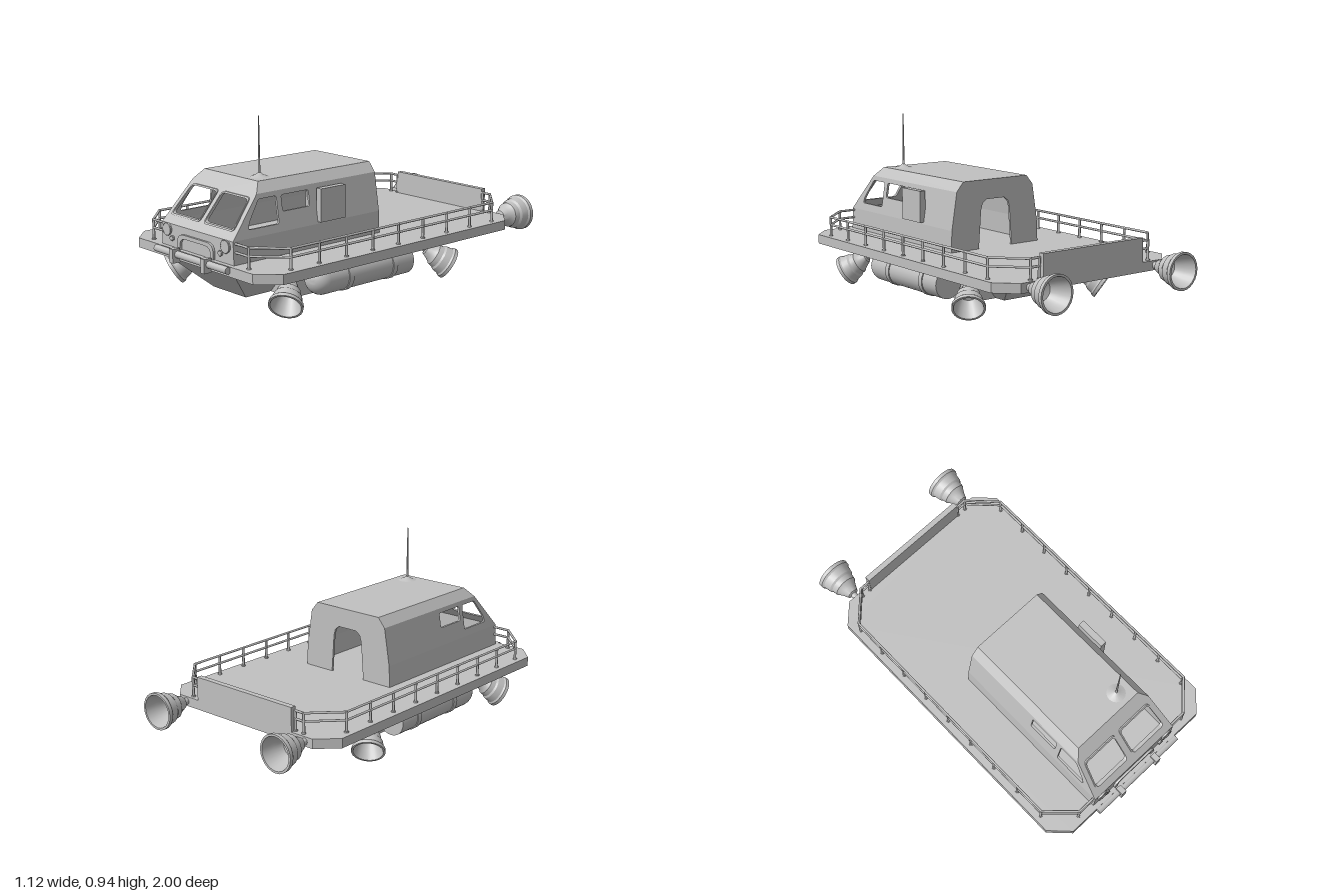
import * as THREE from 'three';
import { toCreasedNormals } from 'three/addons/utils/BufferGeometryUtils.js';
import { ConvexGeometry } from 'three/addons/geometries/ConvexGeometry.js';

const V = (x, y, z) => new THREE.Vector3(x, y, z);

export function createModel() {
  const root = new THREE.Group();
  const grey = new THREE.MeshStandardMaterial({ color: 0xc0c0c0, side: THREE.DoubleSide });
  grey.name = 'light grey';

  function add(name, geometry, x = 0, y = 0, z = 0, parent = root) {
    const mesh = new THREE.Mesh(geometry, grey);
    mesh.name = name;
    mesh.position.set(x, y, z);
    parent.add(mesh);
    return mesh;
  }
  const box = (name, w, h, d, x, y, z) => add(name, new THREE.BoxGeometry(w, h, d), x, y, z);

  // Round bar between two points
  function bar(name, a, b, r, sides = 8) {
    const dir = b.clone().sub(a);
    const mid = a.clone().add(b).multiplyScalar(0.5);
    const geo = new THREE.CylinderGeometry(r, r, dir.length(), sides);
    const mesh = add(name, geo, mid.x, mid.y, mid.z);
    mesh.quaternion.setFromUnitVectors(V(0, 1, 0), dir.normalize());
    return mesh;
  }

  // Closed outline with rounded corners
  function outline(pts, r, path) {
    const p = pts.map(([x, y]) => new THREE.Vector2(x, y));
    p.forEach((c, i) => {
      const prev = p[(i + p.length - 1) % p.length], next = p[(i + 1) % p.length];
      const a = c.clone().add(prev.clone().sub(c).setLength(r));
      const b = c.clone().add(next.clone().sub(c).setLength(r));
      if (i === 0) path.moveTo(a.x, a.y); else path.lineTo(a.x, a.y);
      path.quadraticCurveTo(c.x, c.y, b.x, b.y);
    });
    path.closePath();
    return path;
  }

  // Thin sheet drawn in 2D, then placed in space by a mapping rule
  function panel(name, pts, holes, thick, map) {
    const shape = new THREE.Shape(pts.map(([x, y]) => new THREE.Vector2(x, y)));
    shape.holes = holes;
    const geo = new THREE.ExtrudeGeometry(shape, { depth: thick, bevelEnabled: false, curveSegments: 4 });
    const pos = geo.attributes.position;
    for (let i = 0; i < pos.count; i++) {
      pos.setXYZ(i, ...map(pos.getX(i), pos.getY(i), pos.getZ(i)));
    }
    geo.computeVertexNormals();
    return add(name, geo);
  }
  const flip = pts => pts.map(([x, y]) => [-x, y]);

  // Deck: chamfered slab
  const deck = [[0.46, 0.96], [0.56, 0.86], [0.56, -0.7], [0.46, -0.8],
    [-0.46, -0.8], [-0.56, -0.7], [-0.56, 0.86], [-0.46, 0.96]];
  panel('deck', deck, [], 0.05, (x, z, w) => [x, 0.225 + w, z]);
  box('tailgate', 0.65, 0.13, 0.03, 0, 0.335, -0.785);

  // Hull below the deck
  const hull = [];
  for (const s of [-1, 1]) {
    hull.push(V(s * 0.29, 0.228, 0.935), V(s * 0.29, 0.228, -0.51),
      V(s * 0.13, 0.045, 0.74), V(s * 0.13, 0.045, -0.26));
  }
  add('hull', new ConvexGeometry(hull));
  box('hullMiddle', 0.59, 0.183, 0.77, 0, 0.1365, 0.195);

  // Cab walls
  const front = 0.935, back = -0.02;
  const wallX = y => y < 0.39 ? 0.29 - (y - 0.275) * 0.04 : 0.2854 - (y - 0.39) * 0.162;
  const screenZ = y => front - (y - 0.39) * 0.86;
  const T = 0.012;
  const sideWindows = [
    [[0.645, 0.43], [0.835, 0.43], [0.825, 0.465], [0.755, 0.565], [0.645, 0.565]],
    [[0.44, 0.485], [0.615, 0.485], [0.615, 0.565], [0.44, 0.565]]];
  for (const s of [-1, 1]) {
    const side = (z, y, w) => [s * (wallX(y) - w), y, z];
    panel('cabLowerSide', [[back, 0.275], [front, 0.275], [front, 0.39], [back, 0.39]], [], T, side);
    panel('cabUpperSide', [[back, 0.39], [front, 0.39], [screenZ(0.59), 0.59], [back, 0.59]],
      sideWindows.map(h => outline(h, 0.012, new THREE.Path())), T, side);
    panel('roofEdge', [[back, 0.59], [screenZ(0.59), 0.59], [screenZ(0.64), 0.64], [back, 0.64]], [], 0.01,
      (z, y, w) => [s * (0.253 - (y - 0.59) * 0.84 - w), y - w * 0.5, z]);
  }
  panel('roof', [[-0.211, back], [0.211, back], [0.211, screenZ(0.64)], [-0.211, screenZ(0.64)]], [], 0.01,
    (x, z, w) => [x, 0.64 - w, z]);
  panel('cabNose', [[-0.29, 0.275], [0.29, 0.275], [0.2854, 0.39], [-0.2854, 0.39]], [], T,
    (x, y, w) => [x, y, front - w]);

  // Windscreen and its raised window rims
  const pane = [[0.022, 0.435], [0.243, 0.435], [0.222, 0.565], [0.022, 0.565]];
  const rim = [[0.015, 0.428], [0.251, 0.428], [0.228, 0.572], [0.015, 0.572]];
  panel('windscreenFrame', [[-0.2854, 0.39], [0.2854, 0.39], [0.253, 0.59], [0.211, 0.64], [-0.211, 0.64], [-0.253, 0.59]],
    [pane, flip(pane)].map(h => outline(h, 0.018, new THREE.Path())), T, (x, y, w) => [x, y, screenZ(y) - w]);
  for (const f of [p => p, flip]) {
    const ring = outline(f(rim), 0.02, new THREE.Shape()).getPoints(4).map(p => [p.x, p.y]);
    panel('windowRim', ring, [outline(f(pane), 0.018, new THREE.Path())], 0.007,
      (x, y, w) => [x, y, screenZ(y) + w]);
  }

  // Rear wall with open doorway
  panel('cabRear', [[-0.29, 0.275], [-0.11, 0.275], [-0.095, 0.48], [-0.085, 0.515], [-0.06, 0.535],
    [0.06, 0.535], [0.085, 0.515], [0.095, 0.48], [0.11, 0.275], [0.29, 0.275], [0.2854, 0.39],
    [0.253, 0.59], [0.211, 0.64], [-0.211, 0.64], [-0.253, 0.59], [-0.2854, 0.39]], [], T,
  (x, y, w) => [x, y, back + w]);
  box('sideLocker', 0.035, 0.17, 0.165, 0.29, 0.485, 0.3175);

  // Nose details
  for (const s of [-1, 1]) {
    for (const [name, x, y, r] of [['headlight', 0.235, 0.36, 0.031], ['indicator', 0.195, 0.32, 0.012]]) {
      add(name, new THREE.CylinderGeometry(r, r, 0.014, 24), s * x, y, front + 0.005).rotation.x = Math.PI / 2;
      add(name + 'Rim', new THREE.TorusGeometry(r, 0.003, 6, 24), s * x, y, front + 0.01);
    }
    box('bumperBracket', 0.03, 0.072, 0.045, s * 0.127, 0.252, 0.9775);
  }
  const arch = (w, h) => [[-w, 0.25], [w, 0.25], [w, h], [-w, h]];
  const archShape = outline(arch(0.145, 0.355), 0.05, new THREE.Shape()).getPoints(6).map(p => [p.x, p.y]);
  panel('noseArch', archShape, [outline(arch(0.125, 0.335), 0.045, new THREE.Path())], 0.012,
    (x, y, w) => [x, Math.max(y, 0.275), front + w]);
  bar('bumper', V(-0.29, 0.258, 0.97), V(0.29, 0.258, 0.97), 0.019);

  // Aerial on the roof
  add('aerialBase', new THREE.LatheGeometry([[0.05, 0], [0.02, 0.009], [0.008, 0.02], [0, 0.02]]
    .map(p => new THREE.Vector2(...p)), 16), 0.13, 0.64, 0.645);
  add('aerial', new THREE.CylinderGeometry(0.0025, 0.006, 0.29, 8), 0.13, 0.795, 0.645);

  // Railings
  for (const s of [-1, 1]) {
    const path = [[0.285, 0.92], [0.383, 0.92], [0.525, 0.785], [0.525, -0.63], [0.383, -0.775], [0.325, -0.775]];
    for (const y of [0.379, 0.337]) {
      for (let i = 0; i < path.length - 1; i++) {
        const [a, b] = [path[i], path[i + 1]];
        bar('rail', V(s * a[0], y, a[1]), V(s * b[0], y, b[1]), 0.0065, 6);
      }
    }
    const posts = [[0.383, 0.92], [0.383, -0.775], [0.33, -0.775]];
    for (let i = 0; i < 9; i++) posts.push([0.525, 0.783 - i * 0.1766]);
    for (const [x, z] of posts) {
      bar('railPost', V(s * x, 0.27, z), V(s * x, 0.382, z), 0.007, 8);
      bar('railFoot', V(s * x, 0.27, z), V(s * x, 0.282, z), 0.011, 8);
    }
  }

  // Side tanks: domed at the front, flat at the back, with two straps
  const tankProfile = [new THREE.Vector2(0, -0.11), new THREE.Vector2(0.08, -0.11)];
  for (let i = 0; i <= 8; i++) {
    const a = i / 8 * Math.PI / 2;
    tankProfile.push(new THREE.Vector2(0.08 * Math.cos(a), 0.465 + 0.08 * Math.sin(a)));
  }
  const tankGeo = toCreasedNormals(new THREE.LatheGeometry(tankProfile, 24), 0.6);
  for (const s of [-1, 1]) {
    add('tank', tankGeo, s * 0.375, 0.14, 0).rotation.x = Math.PI / 2;
    for (const z of [0.33, 0.025]) {
      add('tankStrap', new THREE.CylinderGeometry(0.085, 0.085, 0.03, 24), s * 0.375, 0.14, z).rotation.x = Math.PI / 2;
    }
  }

  // Bell nozzles: mouth at the local origin, opening along +y
  const bell = [[0.018, -0.29], [0.018, -0.175], [0.032, -0.17], [0.045, -0.14], [0.06, -0.115], [0.066, -0.11],
    [0.071, -0.08], [0.08, -0.07], [0.088, -0.03], [0.097, -0.02], [0.0975, 0], [0.086, 0], [0.07, -0.06],
    [0.05, -0.11], [0, -0.125]].map(p => new THREE.Vector2(...p));
  const bellGeo = toCreasedNormals(new THREE.LatheGeometry(bell, 24), 0.5);
  function nozzle(name, at, dir, scale) {
    const mesh = add(name, bellGeo, at.x, at.y, at.z);
    mesh.quaternion.setFromUnitVectors(V(0, 1, 0), dir.normalize());
    mesh.scale.setScalar(scale);
  }
  for (const s of [-1, 1]) {
    nozzle('rearNozzle', V(s * 0.41, 0.25, -1), V(0, 0, -1), 1);
    nozzle('lowerFrontNozzle', V(s * 0.45, 0.073, 0.755), V(s * 0.5, -0.55, 0.67), 0.88);
    nozzle('lowerRearNozzle', V(s * 0.45, 0.073, -0.38), V(s * 0.5, -0.55, -0.67), 0.88);
  }
  return root;
}
